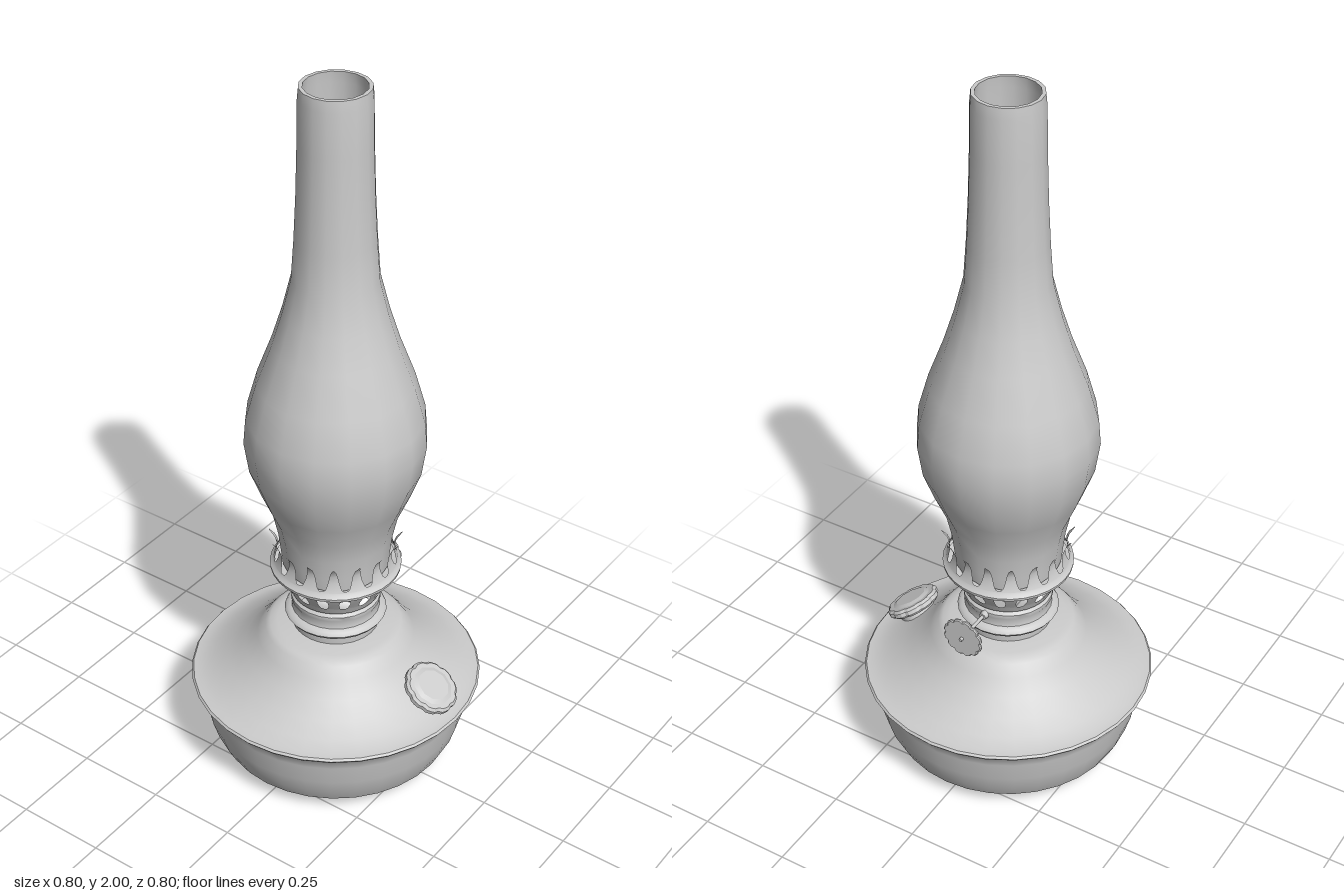
import * as THREE from 'three';
import { toCreasedNormals } from 'three/addons/utils/BufferGeometryUtils.js';

const metal = new THREE.MeshStandardMaterial({ color: 0xcccccc });
const thin = new THREE.MeshStandardMaterial({ color: 0xcccccc, side: THREE.DoubleSide });

function add(parent, name, geometry, material = metal) {
  const mesh = new THREE.Mesh(geometry, material);
  mesh.name = name;
  parent.add(mesh);
  return mesh;
}

// Smooth turned part; only strong profile corners stay sharp
function turned(points, sides) {
  const lathe = new THREE.LatheGeometry(points.map(([r, y]) => new THREE.Vector2(r, y)), sides);
  return toCreasedNormals(lathe, 0.75);
}

// Sheet strip around the axis: rows of [radius, height, half width]
function strip(rows, angle) {
  const pos = [], index = [];
  rows.forEach(([r, y, w], i) => {
    for (let j = -1; j <= 1; j++) {
      const a = angle + (j * w) / r;
      pos.push(r * Math.sin(a), y, r * Math.cos(a));
    }
    if (i === 0) return;
    for (let j = 0; j < 2; j++) {
      const a = (i - 1) * 3 + j, b = a + 3;
      index.push(a, a + 1, b + 1, a, b + 1, b);
    }
  });
  const g = new THREE.BufferGeometry();
  g.setAttribute('position', new THREE.Float32BufferAttribute(pos, 3));
  g.setIndex(index);
  g.computeVertexNormals();
  return g;
}

// Scalloped disc lying on the xz plane, centred on its thickness
function scallopedDisc(radius, dip, lobes, height, bevel) {
  const shape = new THREE.Shape();
  const steps = lobes * 4;
  for (let i = 0; i < steps; i++) {
    const a = (i / steps) * Math.PI * 2;
    const r = i % 4 === 0 ? radius - dip : radius;
    if (i === 0) shape.moveTo(r, 0);
    else shape.lineTo(r * Math.cos(a), r * Math.sin(a));
  }
  const g = new THREE.ExtrudeGeometry(shape, {
    depth: height - 2 * bevel, bevelEnabled: bevel > 0, bevelSize: bevel,
    bevelThickness: bevel, bevelOffset: -bevel, bevelSegments: 1,
  });
  g.translate(0, 0, -(height - 2 * bevel) / 2);
  g.rotateX(-Math.PI / 2);
  return g;
}

export function createModel() {
  const lamp = new THREE.Group();
  lamp.name = 'oilLamp';

  // Fuel reservoir: bowl with a small hole underneath, rolled rim, sloping shoulder
  add(lamp, 'reservoirBowl', turned([
    [0.035, 0.012], [0.08, 0.003], [0.17, 0.006], [0.25, 0.022], [0.325, 0.05],
    [0.345, 0.09], [0.36, 0.14], [0.37, 0.2], [0.375, 0.225], [0.395, 0.245], [0.4, 0.252],
  ], 32));
  add(lamp, 'reservoirShoulder', turned([
    [0.4, 0.252], [0.395, 0.258], [0.375, 0.26], [0.34, 0.274], [0.295, 0.3],
    [0.25, 0.335], [0.215, 0.372], [0.193, 0.403], [0.18, 0.412], [0.16, 0.416], [0.118, 0.42],
  ], 32));

  // Threaded neck and collar
  add(lamp, 'neckCollar', turned([
    [0.118, 0.415], [0.12, 0.445], [0.133, 0.45], [0.139, 0.459], [0.133, 0.469],
    [0.12, 0.473], [0.117, 0.49], [0.122, 0.5], [0.122, 0.512], [0.114, 0.52], [0.122, 0.53],
  ], 24));

  // Burner gallery: two bands joined by bars, open slots between
  const gallery = new THREE.Group();
  gallery.name = 'burnerGallery';
  lamp.add(gallery);
  add(gallery, 'lowerBand', turned([[0.12, 0.525], [0.127, 0.54], [0.132, 0.55]], 32), thin);
  add(gallery, 'upperBand', turned([
    [0.161, 0.598], [0.166, 0.605], [0.176, 0.609], [0.177, 0.617], [0.169, 0.624], [0.165, 0.634],
  ], 32), thin);
  const count = 16;
  for (let i = 0; i < count; i++) {
    const angle = (i / count) * Math.PI * 2;
    // Bars widen at both ends, which rounds the slots
    add(gallery, 'galleryBar', strip([
      [0.131, 0.548, 0.026], [0.134, 0.554, 0.016], [0.147, 0.575, 0.014],
      [0.157, 0.592, 0.017], [0.161, 0.599, 0.031],
    ], angle + Math.PI / count), thin);
    // Springy prongs holding the glass
    add(gallery, 'glassProng', strip([
      [0.167, 0.63, 0.032], [0.163, 0.639, 0.021], [0.158, 0.657, 0.015],
      [0.157, 0.677, 0.011], [0.163, 0.695, 0.007], [0.178, 0.714, 0.002],
    ], angle + Math.PI / count), thin);
  }

  // Wick burner inside the glass
  add(lamp, 'burnerPlate', turned([
    [0.165, 0.618], [0.14, 0.612], [0.09, 0.615], [0.078, 0.635], [0.068, 0.645],
    [0.058, 0.638], [0.05, 0.62], [0.035, 0.613], [0, 0.61],
  ], 24), thin);

  // Glass chimney with an outer and inner wall
  const outer = [
    [0.143, 0.62], [0.147, 0.66], [0.154, 0.72], [0.167, 0.78], [0.197, 0.85], [0.227, 0.93],
    [0.24, 1.02], [0.234, 1.09], [0.206, 1.19], [0.165, 1.3], [0.137, 1.39],
    [0.112, 1.49], [0.104, 1.6], [0.098, 1.72], [0.094, 1.85], [0.092, 1.97], [0.089, 2.0],
  ];
  const inner = outer.map(([r, y]) => [r - 0.01, y]).reverse();
  add(lamp, 'glassChimney', turned([...outer, ...inner, outer[0]], 16));

  // Filler cap, tilted to lie on the shoulder
  const cap = new THREE.Group();
  cap.name = 'fillerCap';
  cap.position.set(0.315, 0.322, 0);
  cap.rotation.z = -0.54;
  lamp.add(cap);
  add(cap, 'capLid', scallopedDisc(0.077, 0.004, 10, 0.026, 0.007));
  add(cap, 'capTop', new THREE.CylinderGeometry(0.045, 0.06, 0.006, 10)).position.y = 0.015;
  add(cap, 'fillerNeck', new THREE.CylinderGeometry(0.052, 0.052, 0.05, 20)).position.y = -0.03;

  // Wick adjuster: rod and scalloped wheel at the back
  const adjuster = new THREE.Group();
  adjuster.name = 'wickAdjuster';
  adjuster.position.y = 0.503;
  adjuster.rotation.x = -Math.PI / 2;
  lamp.add(adjuster);
  add(adjuster, 'adjusterRod', new THREE.CylinderGeometry(0.005, 0.005, 0.146, 8)).position.y = 0.172;
  add(adjuster, 'adjusterBush', new THREE.CylinderGeometry(0.01, 0.014, 0.025, 10)).position.y = 0.122;
  add(adjuster, 'adjusterWheel', scallopedDisc(0.059, 0.005, 12, 0.01, 0.003)).position.y = 0.231;

  return lamp;
}
